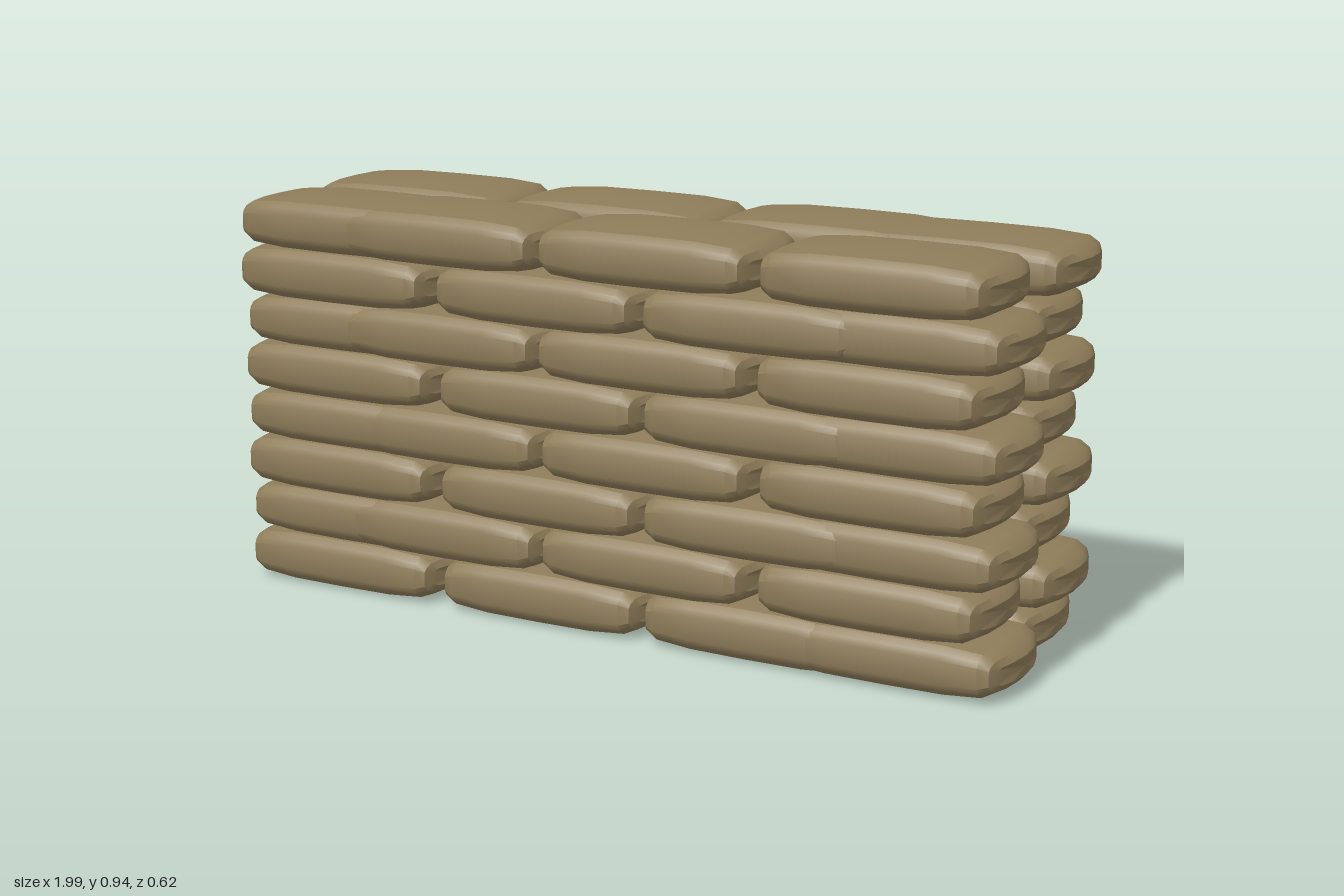
import * as THREE from 'three';
import { toCreasedNormals } from 'three/addons/utils/BufferGeometryUtils.js';

const HALF_LENGTH = 0.28, HALF_HEIGHT = 0.0625, HALF_DEPTH = 0.15, PITCH = 0.116;

// Cross-section of a filled bag as (z, y) fractions, running from front over the top to the back
const UPPER = [[1, 0.45], [0.95, 0.7], [0.84, 0.92], [0.5, 0.99], [0, 1],
  [-0.5, 0.99], [-0.84, 0.92], [-0.95, 0.7], [-1, 0.45]];
const SECTION = [...UPPER, ...UPPER.map(([z, y]) => [-z, -y])];

// Stations along half a bag: position, height scale, depth scale
const HALF = [[1, 0.36, 0.8], [0.95, 0.62, 0.92], [0.84, 0.86, 0.98], [0.5, 0.98, 1]];
const STATIONS = [...HALF.map(([x, h, d]) => [-x, h, d]), [0, 1, 1], ...HALF.slice().reverse()];

function bagGeometry() {
  const pos = [], index = [], n = SECTION.length;
  for (const [x, h, d] of STATIONS) {
    for (const [z, y] of SECTION) {
      // ends bow outward in plan
      const bow = 0.022 * z * z * x ** 4 * Math.sign(x);
      pos.push(x * HALF_LENGTH - bow, y * h * HALF_HEIGHT, z * d * HALF_DEPTH);
    }
  }
  for (let s = 0; s < STATIONS.length - 1; s++) {
    for (let i = 0; i < n; i++) {
      const a = s * n + i, b = s * n + (i + 1) % n;
      index.push(a, a + n, b, b, a + n, b + n);
    }
  }
  // end caps
  const left = pos.length / 3, last = (STATIONS.length - 1) * n;
  pos.push(-HALF_LENGTH, 0, 0, HALF_LENGTH, 0, 0);
  for (let i = 0; i < n; i++) {
    const j = (i + 1) % n;
    index.push(left, i, j, left + 1, last + j, last + i);
  }
  const g = new THREE.BufferGeometry();
  g.setAttribute('position', new THREE.Float32BufferAttribute(pos, 3));
  g.setIndex(index);
  return toCreasedNormals(g, 0.5);
}

// Small repeatable variation
function seeded(seed) {
  return () => {
    seed = (seed * 16807) % 2147483647;
    return (seed / 2147483647) * 2 - 1;
  };
}

export function createModel() {
  const wall = new THREE.Group();
  wall.name = 'sandbagWall';
  const rand = seeded(4711);
  const geometry = bagGeometry();
  const material = new THREE.MeshStandardMaterial({ color: 0x8f7d5a });

  // Bag centres of the two alternating bonds; end bags overlap their neighbours
  const bonds = [[-0.713, -0.16, 0.385, 0.713], [-0.708, -0.42, 0.115, 0.67]];

  for (let course = 0; course < 8; course++) {
    for (const [row, side] of [['front', 1], ['back', -1]]) {
      const layer = new THREE.Group();
      layer.name = `${row}Course${course + 1}`;
      layer.position.set(0, HALF_HEIGHT + course * PITCH, side * (0.152 + 0.004 * rand()));
      const bond = bonds[(course + (side < 0 ? 1 : 0)) % 2];
      bond.forEach((x, i) => {
        const bag = new THREE.Mesh(geometry, material);
        bag.name = `sandbag${i + 1}`;
        bag.position.set(x + 0.004 * rand(), 0, 0.004 * rand());
        bag.rotation.y = 0.012 * rand();
        // overlapped end bags sit just inside the bag that covers them
        const covered = bond === bonds[0] ? i === 3 : i === 0;
        if (covered) bag.scale.set(1, 0.97, 0.96);
        layer.add(bag);
      });
      wall.add(layer);
    }
  }
  return wall;
}
